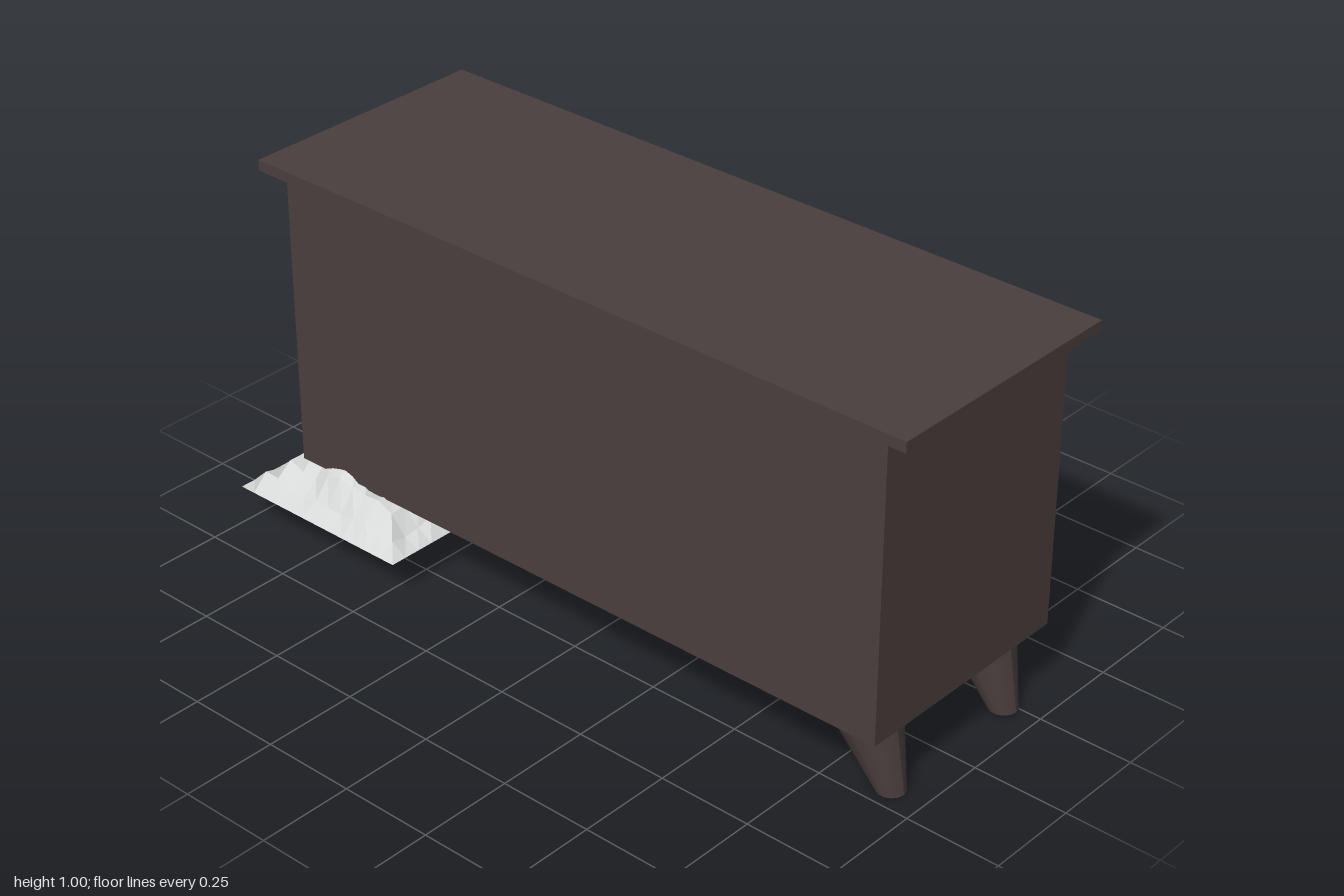
import * as THREE from 'three';

export function createModel() {
  const model = new THREE.Group();
  model.name = 'sideboard';
  const wood = new THREE.MeshStandardMaterial({ color: 0x4a3f3e });
  wood.name = 'dark wood';
  const gold = new THREE.MeshStandardMaterial({ color: 0xb9821f });
  gold.name = 'gold';
  const silver = new THREE.MeshStandardMaterial({ color: 0xd6d8d8, side: THREE.DoubleSide, flatShading: true });
  silver.name = 'pale grey';

  const add = (name, geometry, material, parent = model) => {
    const mesh = new THREE.Mesh(geometry, material);
    mesh.name = name;
    parent.add(mesh);
    return mesh;
  };
  // Box given by its lower and upper limits on each axis
  const box = (name, x0, x1, y0, y1, z0, z1, parent = model) => {
    const mesh = add(name, new THREE.BoxGeometry(x1 - x0, y1 - y0, z1 - z0), wood, parent);
    mesh.position.set((x0 + x1) / 2, (y0 + y1) / 2, (z0 + z1) / 2);
    return mesh;
  };

  // Carcass: closed drawer block beside an open cubby
  box('tabletop', -0.317, 0.372, 0.972, 1, -0.95, 1);
  box('drawerBlock', -0.293, 0.347, 0.187, 0.972, -0.88, 0.47);
  box('cubbySide', -0.293, 0.347, 0.187, 0.972, 0.922, 0.935);
  box('cubbyBack', -0.293, -0.275, 0.187, 0.972, 0.47, 0.922);
  box('cubbyFloor', -0.275, 0.347, 0.187, 0.205, 0.47, 0.922);
  box('cubbyCeiling', -0.275, 0.347, 0.955, 0.972, 0.47, 0.922);

  // Upper drawers with bent gold pulls
  const pullPath = new THREE.CurvePath();
  const pullPoints = [[0, -0.042], [0.014, -0.042], [0.026, -0.052], [0.026, 0.052], [0.014, 0.042], [0, 0.042]]
    .map(([x, z]) => new THREE.Vector3(x, 0, z));
  for (let i = 1; i < pullPoints.length; i++) {
    pullPath.add(new THREE.LineCurve3(pullPoints[i - 1], pullPoints[i]));
  }
  const pullGeometry = new THREE.TubeGeometry(pullPath, 40, 0.005, 8);
  const columns = [[-0.16, 0.41], [-0.795, -0.225]];
  const rows = [[0.743, 0.938, 0.856], [0.482, 0.675, 0.576], [0.235, 0.428, 0.335]];
  for (const [z0, z1] of columns) {
    for (const [y0, y1, handleY] of rows) {
      const drawer = new THREE.Group();
      drawer.name = 'drawer';
      model.add(drawer);
      box('drawerFront', 0.345, 0.363, y0, y1, z0, z1, drawer);
      const pull = add('drawerPull', pullGeometry, gold, drawer);
      pull.position.set(0.366, handleY, (z0 + z1) / 2);
    }
  }

  // Low open trays hung below the carcass, each with a slanted plate pull
  for (const [z0, z1, top] of [[0.08, 0.645, 0.273], [-0.795, -0.225, 0.24]]) {
    const tray = new THREE.Group();
    tray.name = 'lowTray';
    model.add(tray);
    box('trayFront', 0.345, 0.36, 0.082, top, z0, z1, tray);
    box('trayFloor', -0.18, 0.345, 0.095, 0.107, z0 + 0.01, z1 - 0.01, tray);
    box('trayBack', -0.18, -0.168, 0.095, 0.23, z0 + 0.01, z1 - 0.01, tray);
    for (const z of [z0 + 0.01, z1 - 0.022]) {
      box('traySide', -0.18, 0.345, 0.095, 0.23, z, z + 0.012, tray);
    }
    const plate = add('trayPull', new THREE.PlaneGeometry(0.11, 0.045), silver, tray);
    plate.rotation.set(-Math.PI / 2 + 0.45, 0, 0);
    const pivot = new THREE.Group();
    pivot.name = 'trayPullMount';
    pivot.rotation.y = Math.PI / 2;
    pivot.position.set(0.38, 0.201, (z0 + z1) / 2);
    pivot.add(plate);
    tray.add(pivot);
  }

  // Small sheet lying in the cubby
  const note = add('smallSheet', new THREE.PlaneGeometry(0.09, 0.09), silver);
  note.rotation.x = -Math.PI / 2;
  note.position.set(0.2, 0.21, 0.52);

  // Tapered round legs, splayed outwards along the length
  for (const side of [1, -1]) {
    for (const x of [-0.187, 0.233]) {
      const geometry = new THREE.CylinderGeometry(0.0875, 0.0375, 0.187, 14);
      const p = geometry.attributes.position;
      for (let i = 0; i < p.count; i++) {
        p.setZ(i, p.getZ(i) - side * (p.getY(i) / 0.187 + 0.5) * 0.08);
      }
      geometry.computeVertexNormals();
      add('leg', geometry, wood).position.set(x, 0.0935, 0.0275 + side * 0.878);
    }
  }

  // Crumpled cloth under the rear corner: low rim, creased hump inside
  const cloth = new THREE.PlaneGeometry(0.53, 0.54, 12, 12);
  cloth.rotateX(-Math.PI / 2);
  const c = cloth.attributes.position;
  for (let i = 0; i < c.count; i++) {
    const x = c.getX(i), z = c.getZ(i);
    const rim = Math.min(0.265 - Math.abs(x), 0.27 - Math.abs(z));
    const rise = THREE.MathUtils.smoothstep(rim, 0, 0.13);
    const crease = Math.sin(x * 31 + z * 17) * 0.6 + Math.sin(z * 39 - x * 13) * 0.4;
    c.setY(i, 0.103 + rise * (0.09 + 0.025 * crease) + 0.008 * (1 + crease) * Math.min(1, rim * 30));
  }
  cloth.computeVertexNormals();
  add('crumpledCloth', cloth, silver).position.set(-0.135, 0, -0.73);

  return model;
}
